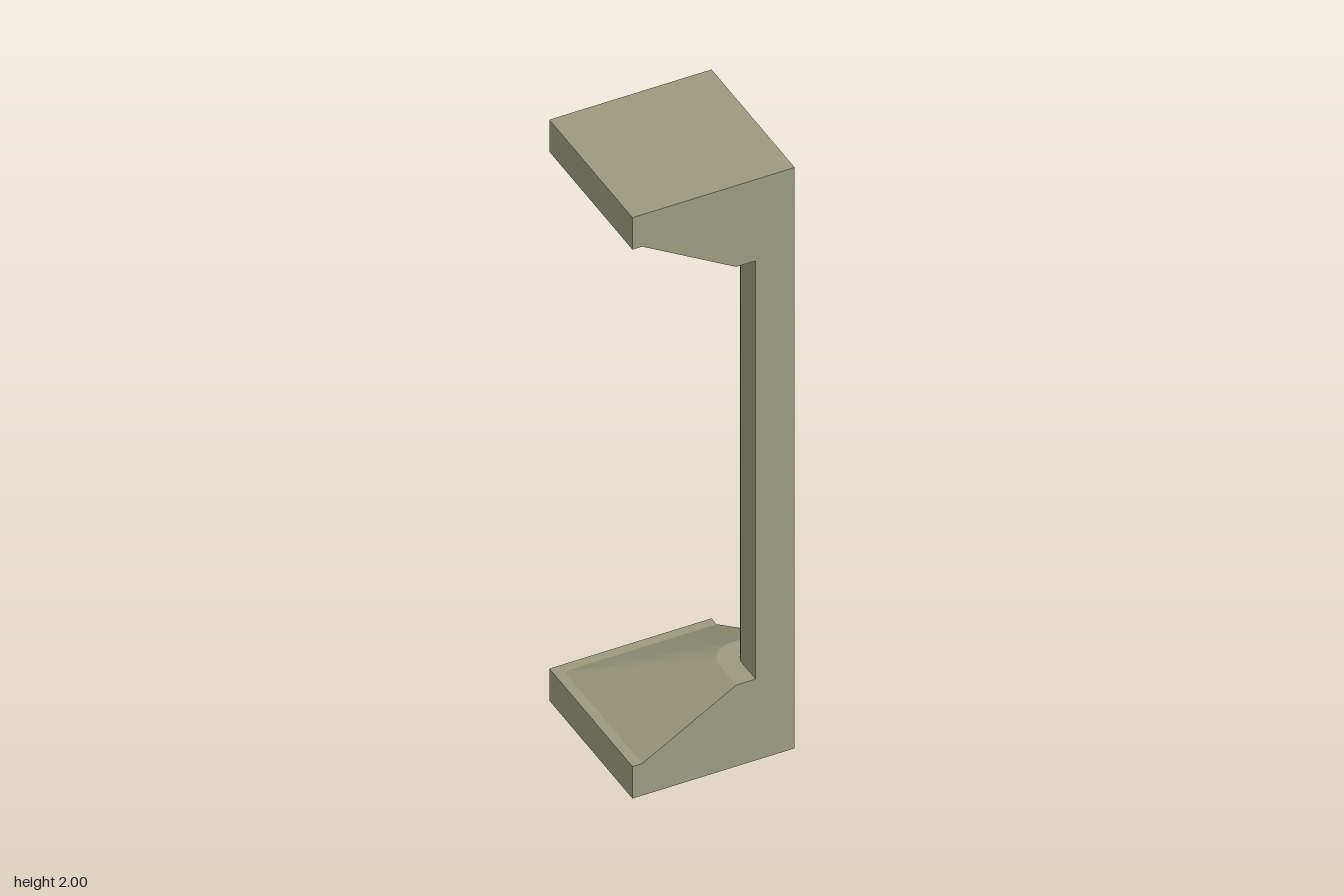
import * as THREE from 'three';
import { toCreasedNormals } from 'three/addons/utils/BufferGeometryUtils.js';

const EDGE = 0.25; // the two outer faces of the corner column lie at x = EDGE and z = EDGE

// Square section [x, z] from the outer corner to s, its inner corner rounded by r
function section(s, r, steps = 6) {
  const points = [[EDGE, EDGE], [EDGE, s]];
  for (let i = 0; i <= steps; i++) {
    const t = (i / steps) * Math.PI / 2;
    points.push([s + r - r * Math.sin(t), s + r - r * Math.cos(t)]);
  }
  points.push([s, EDGE]);
  return points;
}

// Walls between two sections at heights y0 and y1
function loft(lower, y0, upper, y1) {
  const positions = [];
  const n = lower.length;
  for (let i = 0; i < n; i++) {
    const j = (i + 1) % n;
    const a = [lower[i][0], y0, lower[i][1]];
    const b = [lower[j][0], y0, lower[j][1]];
    const c = [upper[j][0], y1, upper[j][1]];
    const d = [upper[i][0], y1, upper[i][1]];
    positions.push(...a, ...b, ...c, ...a, ...c, ...d);
  }
  const geometry = new THREE.BufferGeometry();
  geometry.setAttribute('position', new THREE.Float32BufferAttribute(positions, 3));
  return toCreasedNormals(geometry, Math.PI / 4);
}

// Flat upward face filling a section
function cap(points, y) {
  const shape = new THREE.Shape(points.map(([x, z]) => new THREE.Vector2(x, -z)));
  return new THREE.ShapeGeometry(shape).rotateX(-Math.PI / 2).translate(0, y, 0);
}

export function createModel() {
  const model = new THREE.Group();
  model.name = 'cornerColumn';
  const material = new THREE.MeshStandardMaterial({ color: 0x9b9a7e });

  const add = (parent, name, geometry) => {
    const mesh = new THREE.Mesh(geometry, material);
    mesh.name = name;
    parent.add(mesh);
  };

  // Shaft with a rounded inner corner
  const shaftSection = section(0.13, 0.035);
  add(model, 'shaft', loft(shaftSection, 0.28, shaftSection, 1.72));

  // Square slab with a sloping haunch that ends in a small ledge around the shaft
  const slab = new THREE.BoxGeometry(0.5, 0.11, 0.5).translate(0, 0.055, 0);
  const haunchTop = section(0.07, 0.08);
  const haunch = loft(section(-0.22, 0.02), 0.11, haunchTop, 0.28);
  const ledge = cap(haunchTop, 0.28);

  for (const name of ['base', 'capital']) {
    const end = new THREE.Group();
    end.name = name;
    add(end, name + 'Slab', slab);
    add(end, name + 'Haunch', haunch);
    add(end, name + 'Ledge', ledge);
    if (name === 'capital') {
      // Half turn about the diagonal puts the same piece upside down at the top
      end.quaternion.setFromAxisAngle(new THREE.Vector3(1, 0, 1).normalize(), Math.PI);
      end.position.y = 2;
    }
    model.add(end);
  }
  return model;
}
